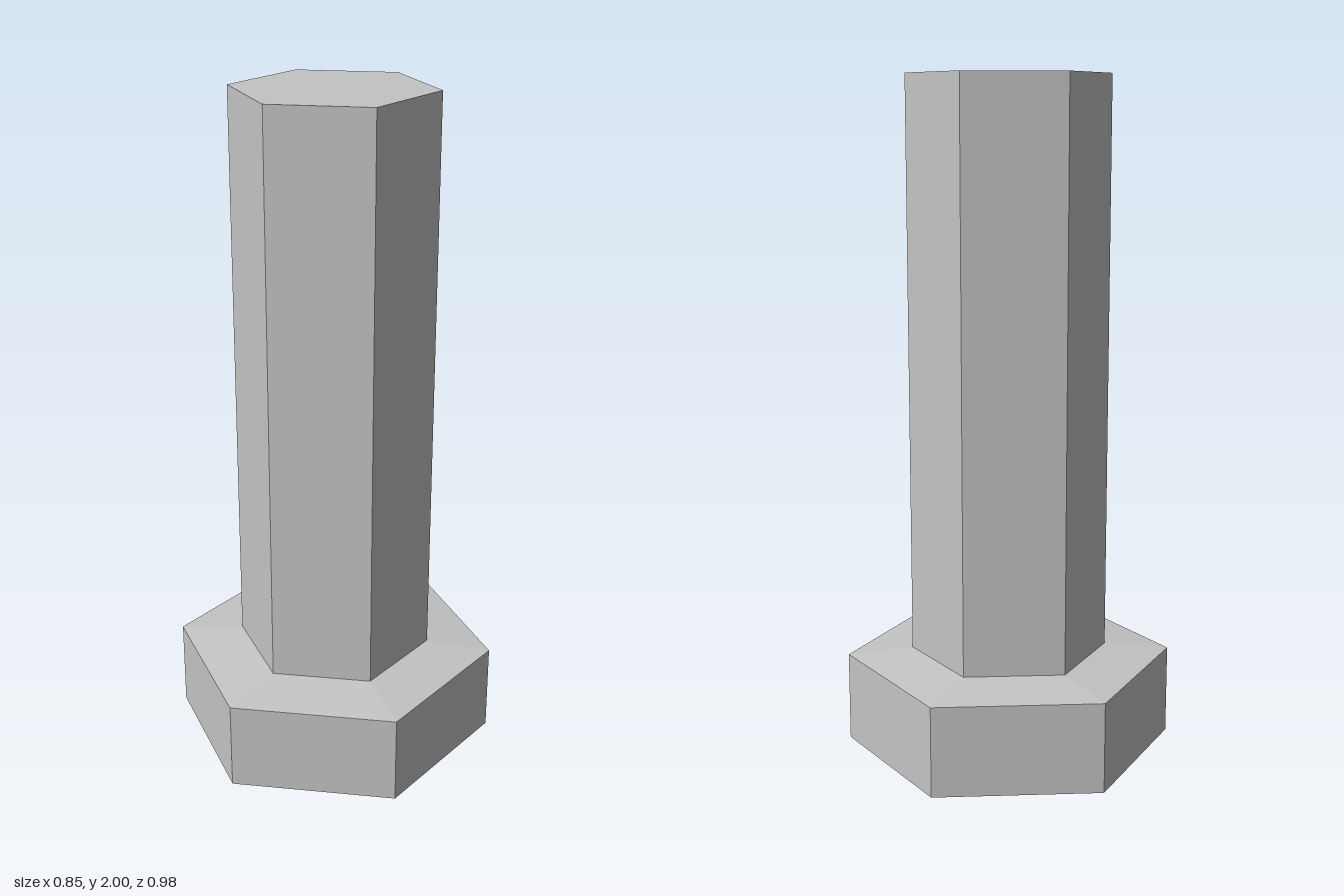
import * as THREE from 'three';

const SIDES = 6;
const HEAD_RADIUS = 0.49;
const SHAFT_RADIUS = 0.295;
const HEAD_TOP = 0.27;
const SHAFT_BASE = 0.29;
const HEIGHT = 2;

// Revolves a bottom-to-top profile of [radius, y] pairs into a faceted hexagonal part
function hexPart(name, profile, material) {
  const points = profile.map(([r, y]) => new THREE.Vector2(r, y));
  const geometry = new THREE.LatheGeometry(points, SIDES).toNonIndexed();
  geometry.computeVertexNormals();
  const mesh = new THREE.Mesh(geometry, material);
  mesh.name = name;
  return mesh;
}

export function createModel() {
  const steel = new THREE.MeshStandardMaterial({ color: 0xc4c4c4 });
  steel.name = 'steel grey';
  steel.flatShading = true;

  const bolt = new THREE.Group();
  bolt.name = 'bolt';

  // Wide head with a shallow sloped shoulder rising to the shaft
  bolt.add(hexPart('head', [
    [0, 0], [HEAD_RADIUS, 0], [HEAD_RADIUS, HEAD_TOP], [SHAFT_RADIUS, SHAFT_BASE],
  ], steel));

  // Straight shaft with a flat end
  bolt.add(hexPart('shaft', [
    [SHAFT_RADIUS, SHAFT_BASE], [SHAFT_RADIUS, HEIGHT], [0, HEIGHT],
  ], steel));

  return bolt;
}
